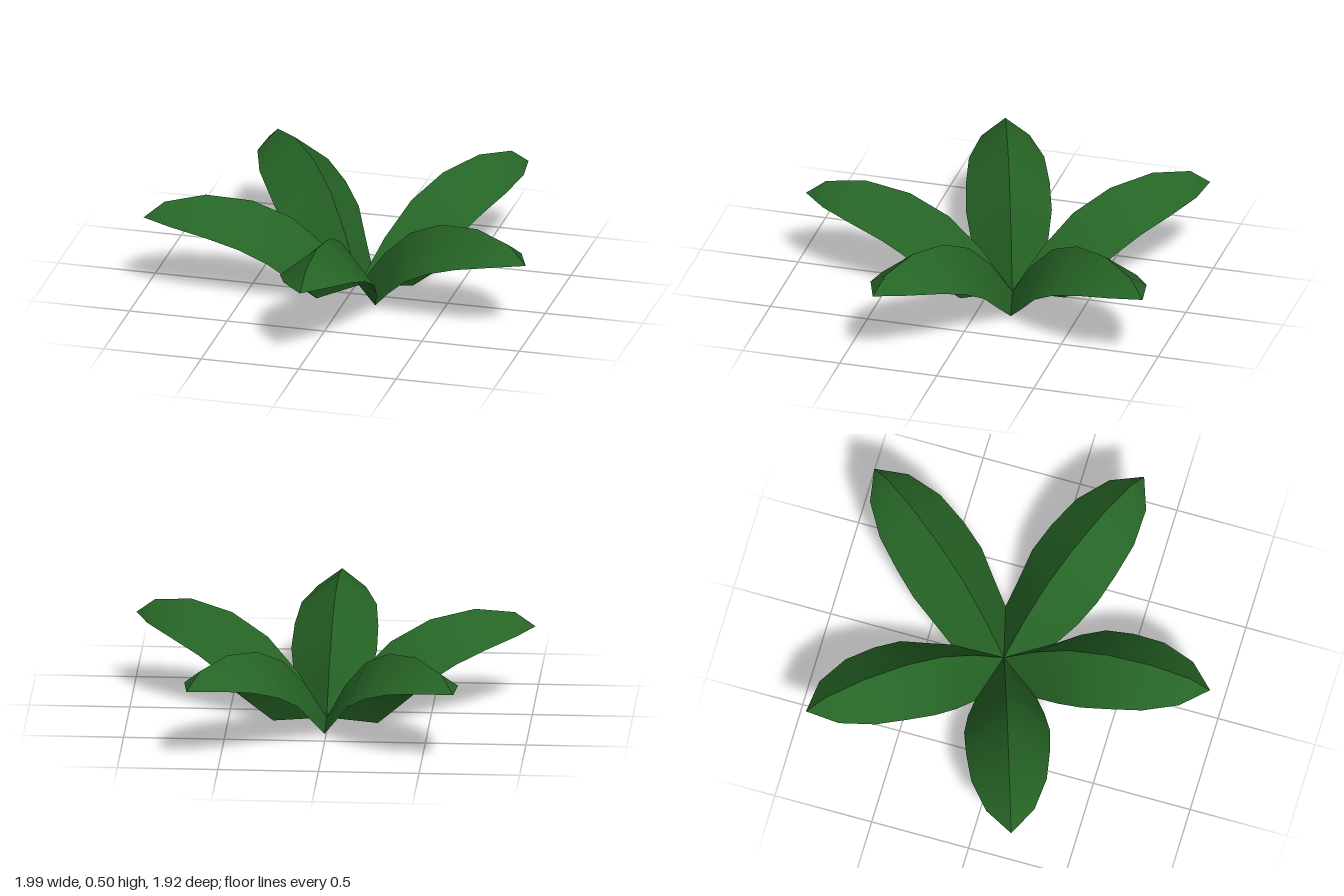
import * as THREE from 'three';

// Stations along a leaf, from base to tip
const midrib = [[0, 0], [0.16, 0.21], [0.33, 0.37], [0.53, 0.468], [0.76, 0.505], [0.965, 0.472], [1.07, 0.39]]; // radius, height
const rim = [null, [0.34, 0.105, 0.19], [0.465, 0.21, 0.213], [0.61, 0.29, 0.208], [0.775, 0.35, 0.187], [0.945, 0.385, 0.12], [1.07, 0.39, 0]]; // radius, height, half width

const centre = new THREE.Vector3(0.015, 0, -0.11);
const headings = [-1, 65.5, 143, 219.5, 288].map(THREE.MathUtils.degToRad);
const baseRadius = 0.27;

// Point at a radius along a heading, shifted sideways
function place(angle, radius, height, side = 0) {
  const s = Math.sin(angle), c = Math.cos(angle);
  return new THREE.Vector3(s * radius + c * side, height, c * radius - s * side).add(centre);
}

// One half of a leaf, between the raised midrib and one rim
function halfLeaf(angle, side, baseAngle) {
  const points = [], index = [];
  midrib.forEach(([r, y], i) => {
    points.push(place(angle, r, y));
    points.push(i === 0 ? place(baseAngle, baseRadius, 0) : place(angle, rim[i][0], rim[i][1], side * rim[i][2]));
  });
  const tri = (a, b, c) => index.push(...(side > 0 ? [a, b, c] : [a, c, b]));
  for (let i = 0; i < midrib.length - 1; i++) {
    const m = i * 2;
    tri(m, m + 2, m + 1);
    if (i < midrib.length - 2) tri(m + 1, m + 2, m + 3);
  }
  // The tip is one shared point
  points.pop();
  const geometry = new THREE.BufferGeometry().setFromPoints(points);
  geometry.setIndex(index);
  geometry.computeVertexNormals();
  return geometry;
}

export function createModel() {
  const model = new THREE.Group();
  model.name = 'leafyPlant';
  const leafGreen = new THREE.MeshStandardMaterial({ color: 0x266426, side: THREE.DoubleSide });
  leafGreen.name = 'leafGreen';

  const count = headings.length;
  headings.forEach((angle, i) => {
    const leaf = new THREE.Group();
    leaf.name = `leaf${i + 1}`;
    // Neighbouring leaves share a base corner halfway between them
    const next = headings[(i + 1) % count] + (i === count - 1 ? Math.PI * 2 : 0);
    const previous = headings[(i + count - 1) % count] - (i === 0 ? Math.PI * 2 : 0);
    for (const [name, side, neighbour] of [['leftHalf', 1, next], ['rightHalf', -1, previous]]) {
      const half = new THREE.Mesh(halfLeaf(angle, side, (angle + neighbour) / 2), leafGreen);
      half.name = name;
      leaf.add(half);
    }
    model.add(leaf);
  });
  return model;
}
